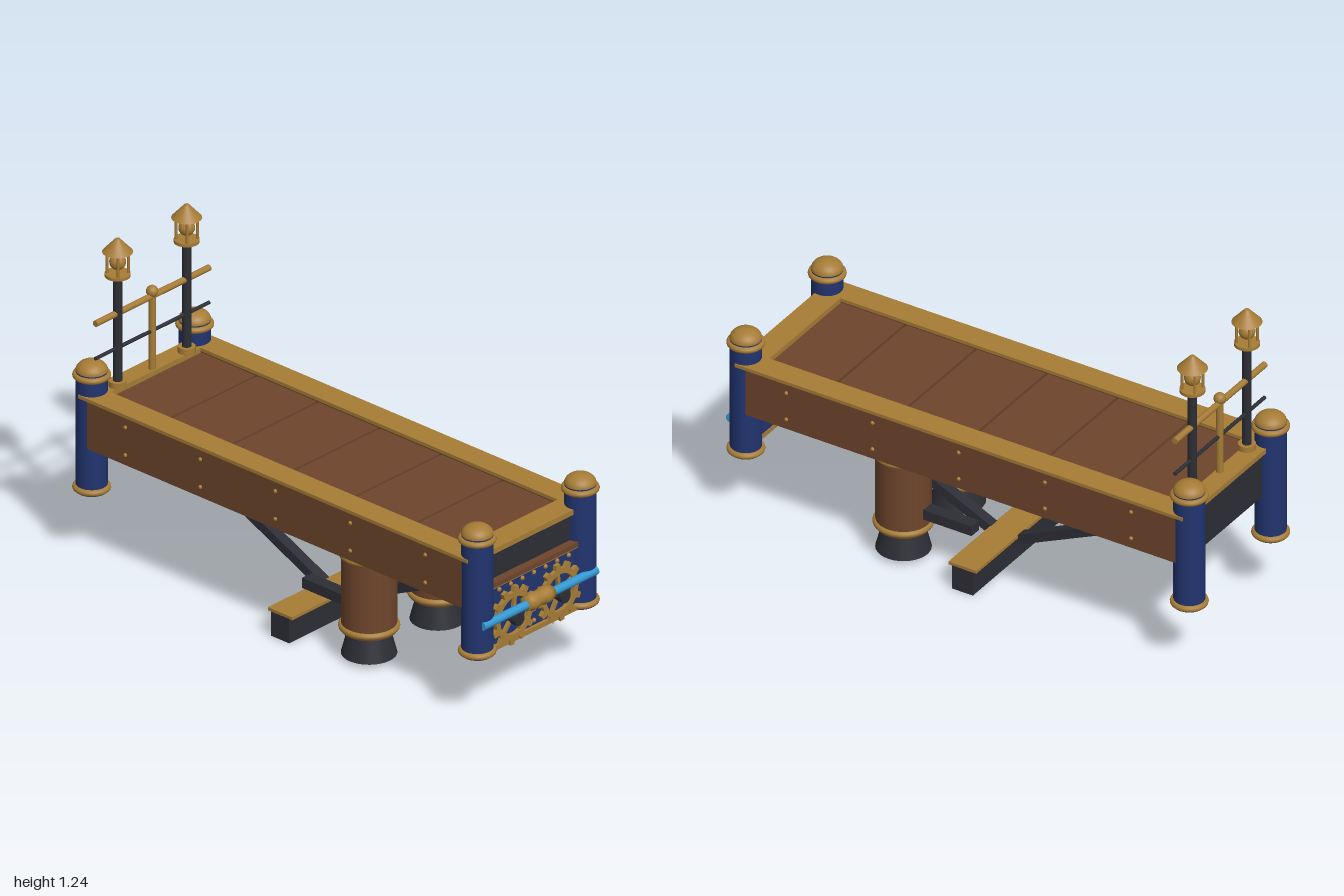
import * as THREE from 'three';

const material = (name, color) => {
  const m = new THREE.MeshStandardMaterial({ color });
  m.name = name;
  return m;
};

export function createModel() {
  const brass = material('brass', 0xa67c36);
  const wood = material('brown wood', 0x6e452c);
  const blue = material('navy blue', 0x21346f);
  const iron = material('dark iron', 0x2d2e35);
  const glow = material('bright blue', 0x3498d2);

  const model = new THREE.Group();
  model.name = 'bridge';

  const add = (name, geo, mat, x = 0, y = 0, z = 0, parent = model) => {
    const m = new THREE.Mesh(geo, mat);
    m.name = name;
    m.position.set(x, y, z);
    parent.add(m);
    return m;
  };
  // Box given by its extents
  const box = (name, mat, x0, x1, y0, y1, z0, z1) =>
    add(name, new THREE.BoxGeometry(x1 - x0, y1 - y0, z1 - z0), mat,
      (x0 + x1) / 2, (y0 + y1) / 2, (z0 + z1) / 2);
  // Upright cylinder given by its bottom and top
  const cyl = (name, mat, rTop, rBot, y0, y1, x, z, parent = model, sides = 32) =>
    add(name, new THREE.CylinderGeometry(rTop, rBot, y1 - y0, sides), mat, x, (y0 + y1) / 2, z, parent);
  const ring = (name, r, tube, x, y, z, parent = model) => {
    const m = add(name, new THREE.TorusGeometry(r, tube, 12, 36), brass, x, y, z, parent);
    m.rotation.x = Math.PI / 2;
    return m;
  };
  const barX = (name, mat, r, x0, x1, y, z) => {
    const m = add(name, new THREE.CylinderGeometry(r, r, x1 - x0, 16), mat, (x0 + x1) / 2, y, z);
    m.rotation.z = Math.PI / 2;
    return m;
  };
  const group = (name) => {
    const g = new THREE.Group();
    g.name = name;
    model.add(g);
    return g;
  };

  // Corner posts with brass rings and domes
  for (const x of [-0.267, 0.267]) for (const z of [0.922, -0.93]) {
    const g = group('cornerPost');
    cyl('postShaft', blue, 0.057, 0.057, 0.26, 0.74, x, z, g);
    ring('postLowerRing', 0.057, 0.012, x, 0.275, z, g);
    ring('postUpperRing', 0.057, 0.012, x, 0.718, z, g);
    const dome = add('postDome', new THREE.SphereGeometry(0.058, 28, 10, 0, Math.PI * 2, 0, Math.PI / 2),
      brass, x, 0.735, z, g);
    dome.scale.y = 0.68;
  }

  // Side girders, brass caps and rivets
  for (const s of [-1, 1]) {
    const a = (p, q) => (s > 0 ? [p, q] : [-q, -p]);
    box('sideGirder', wood, ...a(0.24, 0.318), 0.45, 0.642, -0.905, 0.89);
    box('girderCap', brass, ...a(0.232, 0.328), 0.642, 0.655, -0.94, 0.93);
    for (let i = -2; i <= 2; i++) for (const y of [0.49, 0.6])
      add('girderRivet', new THREE.SphereGeometry(0.008, 10, 8), brass, s * 0.318, y, i * 0.36);
    box('sideStringer', iron, ...a(0.185, 0.24), 0.52, 0.6, -0.88, 0.87);
  }

  // Deck planks over the stringers
  box('centreStringer', iron, -0.033, 0.033, 0.52, 0.6, -0.88, 0.87);
  for (const z of [-0.45, 0.45]) box('crossBeam', iron, -0.24, 0.24, 0.54, 0.59, z - 0.025, z + 0.025);
  for (let i = 0; i < 6; i++) {
    const z = -0.896 + i * 0.2955;
    box('deckPlank', wood, -0.236, 0.236, 0.6, 0.635, z, z + 0.285);
  }

  // End beams and sills
  box('frontBeam', iron, -0.24, 0.24, 0.45, 0.635, 0.87, 0.925);
  box('backBeam', iron, -0.24, 0.24, 0.45, 0.635, -0.93, -0.88);
  box('frontSill', brass, -0.232, 0.232, 0.635, 0.655, 0.845, 0.94);
  box('backSill', brass, -0.232, 0.232, 0.635, 0.655, -0.945, -0.87);

  // Front panel with trim and rivets
  box('frontPanel', blue, -0.225, 0.225, 0.265, 0.52, 0.915, 0.945);
  box('panelTopTrim', wood, -0.22, 0.22, 0.512, 0.53, 0.91, 0.957);
  box('panelTopEdge', brass, -0.22, 0.22, 0.506, 0.512, 0.912, 0.953);
  box('panelBottomTrim', brass, -0.22, 0.22, 0.262, 0.28, 0.912, 0.957);
  for (let i = -3; i <= 3; i++)
    add('panelRivet', new THREE.SphereGeometry(0.009, 10, 8), brass, i * 0.06, 0.49, 0.946);
  add('panelRivet', new THREE.SphereGeometry(0.009, 10, 8), brass, 0, 0.3, 0.946);

  // Toothed gears with spokes and dark hubs
  const teeth = 12, outline = new THREE.Shape();
  for (let i = 0; i < teeth; i++) {
    const step = (Math.PI * 2) / teeth;
    [[-0.27, 0.094], [-0.17, 0.114], [0.17, 0.114], [0.27, 0.094]].forEach(([o, r], k) => {
      const t = (i + o) * step, p = [Math.cos(t) * r, Math.sin(t) * r];
      if (i + k === 0) outline.moveTo(...p); else outline.lineTo(...p);
    });
  }
  outline.closePath();
  const hole = new THREE.Path();
  hole.absarc(0, 0, 0.073, 0, Math.PI * 2, true);
  outline.holes.push(hole);
  const gearGeo = new THREE.ExtrudeGeometry(outline, { depth: 0.016, bevelEnabled: false, curveSegments: 24 });
  for (const s of [-1, 1]) {
    const g = group('gear');
    g.position.set(s * 0.119, 0.37, 0.948);
    g.rotation.z = s * 0.1;
    add('gearRim', gearGeo, brass, 0, 0, 0, g);
    for (let i = 0; i < 5; i++) {
      const t = (i / 5) * Math.PI * 2 + Math.PI / 2;
      const spoke = add('gearSpoke', new THREE.BoxGeometry(0.06, 0.014, 0.012), brass,
        Math.cos(t) * 0.047, Math.sin(t) * 0.047, 0.008, g);
      spoke.rotation.z = t;
    }
    const hub = add('gearHub', new THREE.CylinderGeometry(0.024, 0.024, 0.045, 20), iron, 0, -0.008, 0.02, g);
    hub.rotation.x = Math.PI / 2;
  }

  // Glowing conduit and its brass coupling
  barX('conduit', glow, 0.016, -0.295, 0.295, 0.395, 0.972);
  const coupling = [[0, -0.068], [0.026, -0.068], [0.028, -0.05], [0.033, -0.045], [0.033, -0.02],
    [0.029, -0.015], [0.029, 0.015], [0.033, 0.02], [0.033, 0.045], [0.028, 0.05], [0.026, 0.068], [0, 0.068]];
  const sleeve = add('conduitCoupling',
    new THREE.LatheGeometry(coupling.map(([r, y]) => new THREE.Vector2(r, y)), 20), brass, 0, 0.395, 0.966);
  sleeve.rotation.z = Math.PI / 2;

  // Thruster drums under the deck
  for (const x of [-0.178, 0.178]) {
    const g = group('thruster'), z = 0.32;
    cyl('thrusterDrum', wood, 0.1, 0.1, 0.115, 0.452, x, z, g);
    ring('drumLowerRing', 0.097, 0.013, x, 0.132, z, g);
    ring('drumUpperRing', 0.097, 0.013, x, 0.42, z, g);
    cyl('thrusterNozzle', iron, 0.075, 0.1, 0.022, 0.118, x, z, g);
    cyl('thrusterGlow', glow, 0.086, 0.086, 0.015, 0.023, x, z, g);
    box('thrusterBracket', iron, x - 0.025, x + 0.025, 0.18, 0.22, 0.02, 0.24);
  }

  // Lower cross member and diagonal braces
  box('lowerCrossMember', iron, -0.295, 0.295, 0.003, 0.1, -0.044, 0.044);
  box('crossMemberCap', brass, -0.295, 0.295, 0.099, 0.111, -0.058, 0.058);
  for (const [z0, y0, z1, y1] of [[0.02, 0.075, 0.86, 0.465], [-0.02, 0.075, -0.89, 0.475]]) {
    const len = Math.hypot(z1 - z0, y1 - y0);
    const brace = add('diagonalBrace', new THREE.BoxGeometry(0.042, 0.036, len), iron,
      0, (y0 + y1) / 2, (z0 + z1) / 2);
    brace.rotation.x = -Math.atan2(y1 - y0, z1 - z0);
  }

  // Back railing
  const zr = -0.887;
  barX('topRail', brass, 0.012, -0.295, 0.295, 0.943, zr);
  barX('lowerRail', iron, 0.007, -0.295, 0.295, 0.805, zr);
  cyl('railPost', brass, 0.013, 0.013, 0.65, 0.95, 0, zr, model, 16);
  add('railKnob', new THREE.SphereGeometry(0.022, 20, 14), brass, 0, 0.962, zr);

  // Lamps on tall poles
  for (const x of [-0.179, 0.179]) {
    const g = group('lamp');
    cyl('lampBase', brass, 0.032, 0.032, 0.65, 0.677, x, zr, g);
    cyl('lampPole', iron, 0.017, 0.017, 0.66, 1.095, x, zr, g, 16);
    cyl('lampPlate', brass, 0.046, 0.046, 1.09, 1.102, x, zr, g);
    add('lampGlobe', new THREE.SphereGeometry(0.03, 20, 14), brass, x, 1.146, zr, g);
    for (let i = 0; i < 4; i++) {
      const t = Math.PI / 4 + (i * Math.PI) / 2;
      cyl('lampStay', brass, 0.005, 0.005, 1.1, 1.19, x + Math.cos(t) * 0.038, zr + Math.sin(t) * 0.038, g, 8);
    }
    cyl('lampRoof', brass, 0.008, 0.055, 1.186, 1.238, x, zr, g);
  }
  return model;
}
